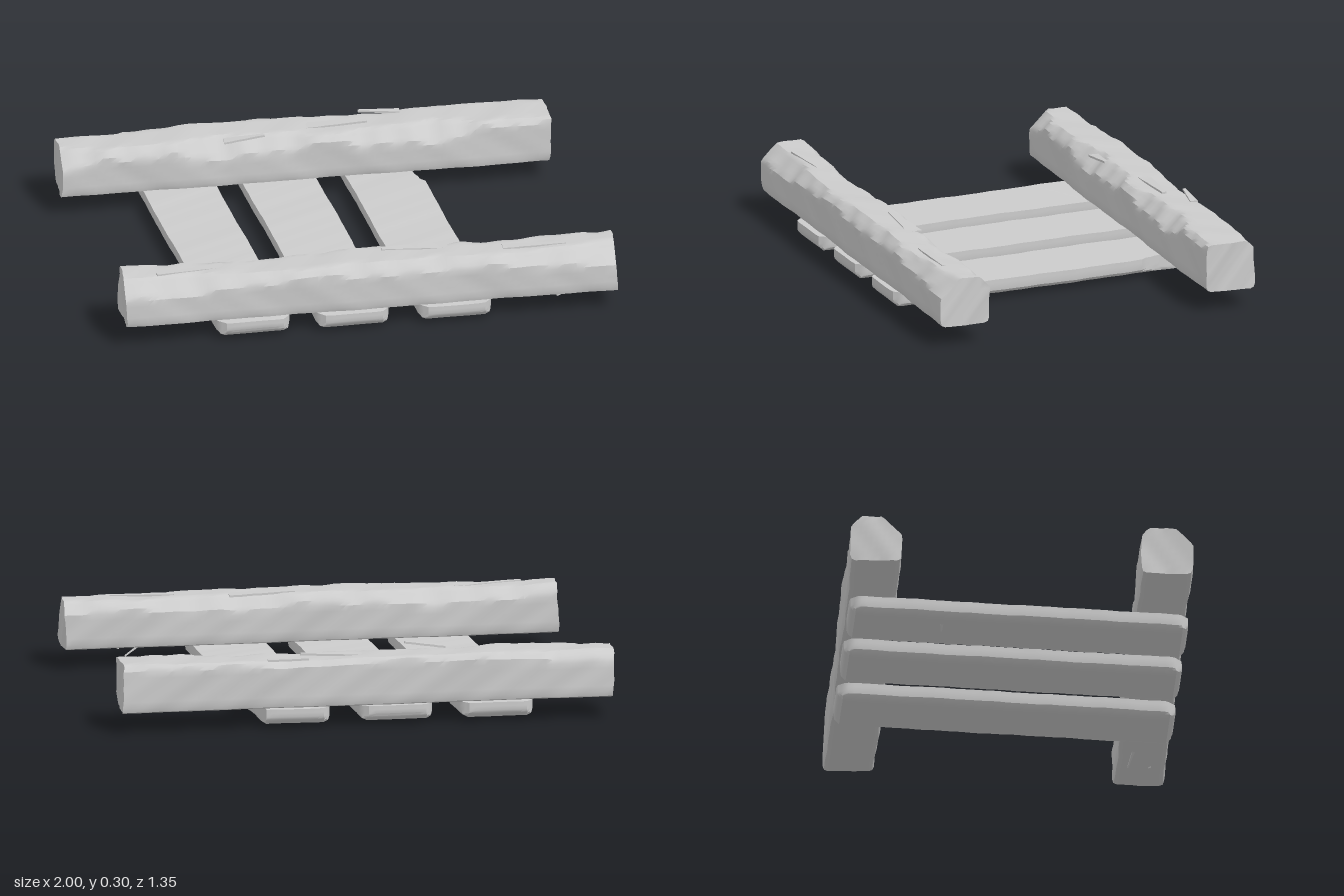
import * as THREE from 'three';
import { toCreasedNormals } from 'three/addons/utils/BufferGeometryUtils.js';

const wood = new THREE.MeshStandardMaterial({ color: 0xcccccc });

// Smooth repeatable waviness in roughly -1..1
const wave = (t, s) =>
  0.5 * Math.sin(5.3 * t + s) + 0.3 * Math.sin(13.1 * t + 2.3 * s) + 0.2 * Math.sin(29 * t + 4.1 * s);

// Subdivided box whose vertices are moved by a rule
function carved(name, size, segments, rule) {
  const geo = new THREE.BoxGeometry(...size, ...segments);
  const pos = geo.attributes.position;
  const p = new THREE.Vector3();
  for (let i = 0; i < pos.count; i++) {
    p.fromBufferAttribute(pos, i);
    rule(p);
    pos.setXYZ(i, p.x, p.y, p.z);
  }
  const mesh = new THREE.Mesh(toCreasedNormals(geo, 0.55), wood);
  mesh.name = name;
  return mesh;
}

// Pulls two coordinates onto a chamfer of width c at the corner (a, b) > 0
function chamfer(p, u, v, hu, hv, su, sv, c) {
  const gap = hu - su * p[u] + hv - sv * p[v];
  if (su * p[u] > 0 && sv * p[v] > 0 && gap < c) {
    p[u] -= su * (c - gap) / 2;
    p[v] -= sv * (c - gap) / 2;
  }
}

// Heavy weathered beam; wear(x, side) gives the lost width of each top edge
function beam(name, length, seed, wear) {
  const hy = 0.095, hz = 0.1;
  return carved(name, [length, 2 * hy, 2 * hz], [72, 8, 10], (p) => {
    const x = p.x;
    const top = (p.y + hy) / (2 * hy);
    for (const side of [-1, 1]) {
      chamfer(p, 'y', 'z', hy, hz, 1, side, wear(x, side));
      chamfer(p, 'y', 'z', hy, hz, -1, side, 0.012);
    }
    p.y += top * top * 0.006 * wave(x + 0.8 * p.z, seed);
    p.z += Math.sign(p.z) * 0.005 * wave(1.3 * x + 2 * p.y, seed + Math.sign(p.z));
    // Ragged end grain
    if (Math.abs(x) > length / 2 - 0.001) p.x += 0.006 * wave(4 * p.z + 3 * p.y, seed + 1);
  });
}

// Slanted floor plank with clipped lower edges and corners
function plank(name, x0, seed, chipped) {
  const hx = 0.145, hy = 0.031, hz = 0.665;
  const mesh = carved(name, [2 * hx, 2 * hy, 2 * hz], [10, 4, 60], (p) => {
    for (const s of [-1, 1]) {
      chamfer(p, 'x', 'y', hx, hy, s, -1, 0.02);
      chamfer(p, 'z', 'y', hz, hy, s, -1, 0.025);
      for (const e of [-1, 1]) chamfer(p, 'x', 'z', hx, hz, s, e, 0.035);
    }
    // Broken corner at the rear
    if (chipped && p.z < -0.4) p.x = Math.min(p.x, hx - 0.025 + 0.012 * wave(3 * p.z, 2));
    p.x += 0.075 * p.z + 0.002 * wave(2 * p.z, seed);
    p.y += 0.002 * wave(2 * p.z + p.x, seed);
  });
  mesh.position.set(x0, 0.051, 0);
  return mesh;
}

// Thin sliver of split wood between two points
function splinter(from, to, width, thick) {
  const a = new THREE.Vector3(...from), b = new THREE.Vector3(...to);
  const len = a.distanceTo(b);
  const mesh = carved('splinter', [width, thick, len], [2, 1, 6], (p) => {
    const t = p.z / len + 0.5;
    p.x *= 1 - 0.65 * t;
    p.y += 0.1 * thick * wave(4 * t, 1);
  });
  mesh.position.copy(a).add(b).multiplyScalar(0.5);
  mesh.lookAt(b);
  return mesh;
}

export function createModel() {
  const group = new THREE.Group();
  group.name = 'brokenPallet';

  // Front beam: outer top edge worn most at its ends
  const front = beam('frontBeam', 1.94, 1.2, (x, side) =>
    Math.max(0.012, 0.03 + 0.02 * wave(1.4 * x, side) + (side > 0 ? 0.035 * Math.abs(x) : 0.015)));
  front.position.set(0.02, 0.181, 0.56);
  front.rotation.set(0, -0.004, -0.004);

  // Rear beam: inner top edge worn, square at the left end
  const rear = beam('rearBeam', 1.93, 3.7, (x, side) =>
    Math.max(0.008, side > 0
      ? 0.05 + 0.035 * wave(1.6 * x, 4) - 0.04 * Math.max(0, x - 0.4)
      : 0.02 + 0.012 * wave(1.5 * x, 6) + (x < -0.7 ? 0.02 : 0)));
  rear.position.set(-0.035, 0.181, -0.574);
  rear.rotation.set(0, -0.006, -0.004);
  group.add(front, rear);

  // Three planks beneath the beams
  [-0.64, -0.245, 0.16].forEach((x, i) =>
    group.add(plank('plank' + (i + 1), x + 0.145, i * 2 + 1, i === 2)));

  // Lifted slivers on the beams and hanging slivers below
  const slivers = [
    [[-0.36, 0.276, -0.5], [-0.2, 0.294, -0.49], 0.04, 0.008],
    [[-0.02, 0.272, -0.58], [0.22, 0.279, -0.57], 0.05, 0.008],
    [[0.36, 0.274, -0.64], [0.2, 0.278, -0.66], 0.03, 0.008],
    [[0.34, 0.273, 0.52], [0.08, 0.279, 0.52], 0.06, 0.008],
    [[-0.55, 0.274, 0.54], [-0.82, 0.279, 0.58], 0.04, 0.007],
    [[0.55, 0.272, 0.57], [0.8, 0.272, 0.58], 0.04, 0.007],
    [[0.68, 0.09, 0.53], [0.75, 0.045, 0.51], 0.012, 0.005],
    [[0.84, 0.088, 0.6], [0.76, 0.055, 0.6], 0.012, 0.005],
    [[-0.58, 0.024, -0.3], [-0.55, 0.004, -0.3], 0.014, 0.006],
  ];
  for (const s of slivers) group.add(splinter(...s));
  return group;
}
